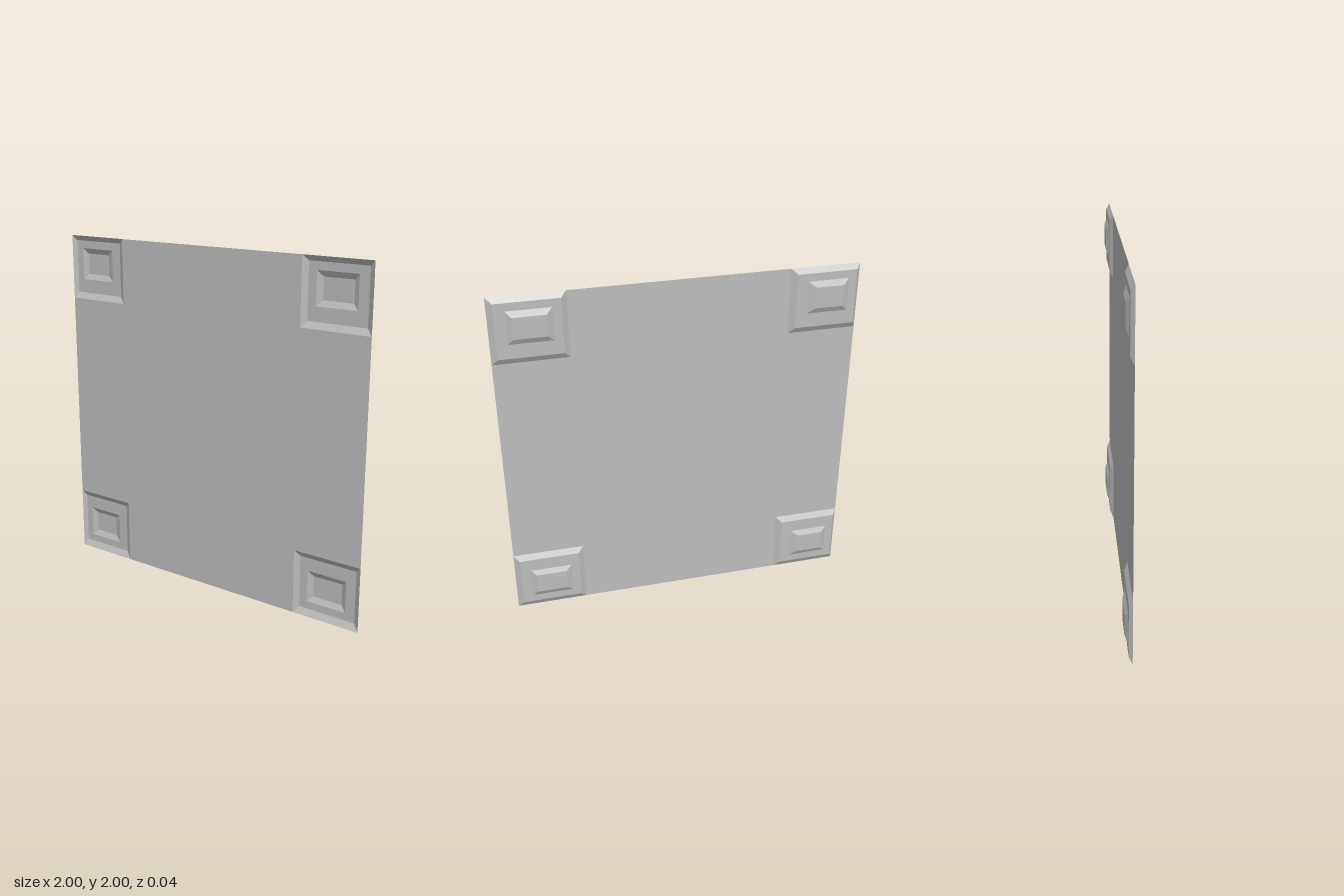
import * as THREE from 'three';

const RIM = 0.018, MID = -0.002, FLOOR = -0.018;

// Stepped corner pressing: nested rectangles [x0, x1, y0, y1, z], outermost first
function pressedCorner(rings) {
  const loops = rings.map(([x0, x1, y0, y1, z]) =>
    [[x0, y0, z], [x1, y0, z], [x1, y1, z], [x0, y1, z]]);
  const pos = [];
  const quad = (a, b, c, d) => pos.push(...a, ...b, ...c, ...a, ...c, ...d);
  for (let r = 0; r < loops.length - 1; r++) {
    const outer = loops[r], inner = loops[r + 1];
    for (let i = 0; i < 4; i++) {
      const j = (i + 1) % 4;
      quad(outer[i], outer[j], inner[j], inner[i]);
    }
  }
  quad(...loops[loops.length - 1]);
  const geo = new THREE.BufferGeometry();
  geo.setAttribute('position', new THREE.Float32BufferAttribute(pos, 3));
  geo.computeVertexNormals();
  return geo;
}

export function createModel() {
  const group = new THREE.Group();
  group.name = 'pressedPanel';
  const grey = new THREE.MeshStandardMaterial({ color: 0xbcbcbc, side: THREE.DoubleSide });
  grey.name = 'grey';

  const add = (name, geo) => {
    const mesh = new THREE.Mesh(geo, grey);
    mesh.name = name;
    group.add(mesh);
  };

  // Step positions across each column and row: start edges, then end edges
  const columns = {
    Right: [[-1, -0.98, -0.936, -0.905], [-0.61, -0.645, -0.706, -0.748]],
    Left: [[0.59, 0.62, 0.668, 0.7], [1, 0.967, 0.909, 0.878]],
  };
  const rows = {
    lower: [[0, 0.038, 0.083, 0.115], [0.378, 0.345, 0.268, 0.238]],
    upper: [[1.625, 1.66, 1.74, 1.772], [2, 1.97, 1.925, 1.893]],
  };
  const depths = [RIM, MID, MID, FLOOR];
  for (const [row, [y0, y1]] of Object.entries(rows)) {
    for (const [side, [x0, x1]] of Object.entries(columns)) {
      add(`${row}${side}Corner`,
        pressedCorner(depths.map((z, i) => [x0[i], x1[i], y0[i], y1[i], z])));
    }
  }

  // Flat cross-shaped sheet joining the corners, level with their rims
  const outline = [
    [-0.61, 0], [0.59, 0], [0.59, 0.378], [1, 0.378], [1, 1.625], [0.59, 1.625],
    [0.59, 2], [-0.61, 2], [-0.61, 1.625], [-1, 1.625], [-1, 0.378], [-0.61, 0.378],
  ].map(([x, y]) => new THREE.Vector2(x, y));
  add('sheet', new THREE.ShapeGeometry(new THREE.Shape(outline)).translate(0, 0, RIM));

  return group;
}
